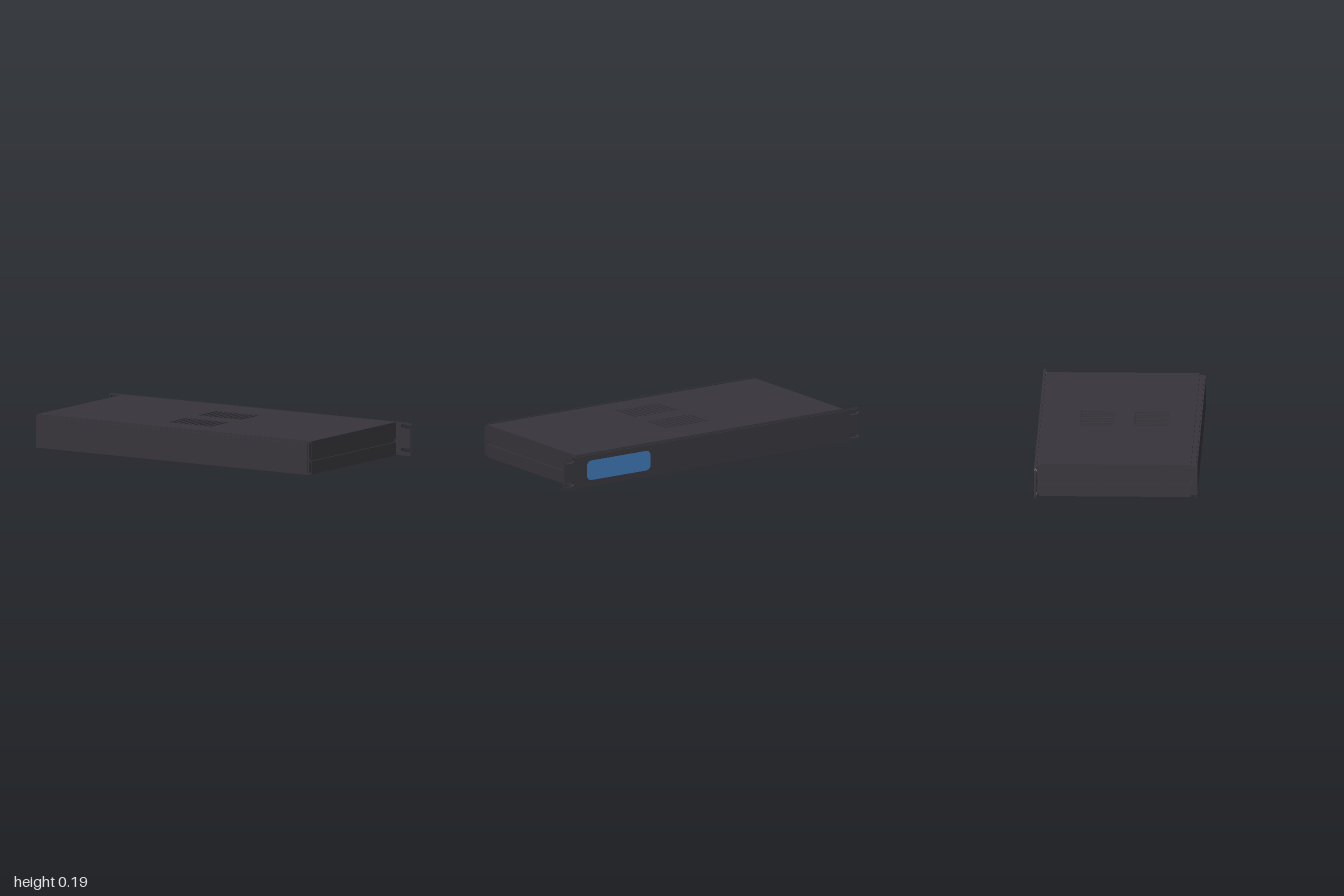
import * as THREE from 'three';

export function createModel() {
  const model = new THREE.Group();
  model.name = 'rackUnit';
  const metal = new THREE.MeshStandardMaterial({ color: 0x37353b });
  metal.name = 'charcoal metal';
  const blue = new THREE.MeshStandardMaterial({ color: 0x3f76b2 });
  blue.name = 'display blue';

  const add = (name, geometry, material = metal) => {
    const mesh = new THREE.Mesh(geometry, material);
    mesh.name = name;
    model.add(mesh);
    return mesh;
  };

  // Box given by its limits on each axis
  const box = (name, x0, x1, y0, y1, z0, z1) => {
    add(name, new THREE.BoxGeometry(x1 - x0, y1 - y0, z1 - z0))
      .position.set((x0 + x1) / 2, (y0 + y1) / 2, (z0 + z1) / 2);
  };

  // Rounded rectangle outline, used for plates and slots
  const roundRect = (x0, x1, y0, y1, r, Type = THREE.Shape) => {
    const s = new Type();
    s.moveTo(x0 + r, y0);
    s.lineTo(x1 - r, y0);
    s.absarc(x1 - r, y0 + r, r, -Math.PI / 2, 0);
    s.lineTo(x1, y1 - r);
    s.absarc(x1 - r, y1 - r, r, 0, Math.PI / 2);
    s.lineTo(x0 + r, y1);
    s.absarc(x0 + r, y1 - r, r, Math.PI / 2, Math.PI);
    s.lineTo(x0, y0 + r);
    s.absarc(x0 + r, y0 + r, r, Math.PI, Math.PI * 1.5);
    return s;
  };
  const extrude = (shape, depth) =>
    new THREE.ExtrudeGeometry(shape, { depth, bevelEnabled: false, curveSegments: 6 });

  // Horizontal plate with two banks of ventilation slots
  const ventedPlate = (name, halfX, zMin, zMax, yBottom, thickness) => {
    const s = new THREE.Shape();
    s.moveTo(-halfX, -zMax);
    s.lineTo(halfX, -zMax);
    s.lineTo(halfX, -zMin);
    s.lineTo(-halfX, -zMin);
    s.closePath();
    for (const zc of [0.175, -0.125]) {
      for (let i = -4; i <= 4; i++) {
        const x = i * 0.033;
        s.holes.push(roundRect(x - 0.009, x + 0.009, -zc - 0.095, -zc + 0.095, 0.008, THREE.Path));
      }
    }
    const g = extrude(s, thickness);
    g.rotateX(-Math.PI / 2);
    add(name, g).position.y = yBottom;
  };

  // Case top and bottom
  ventedPlate('topCover', 0.905, -0.425, 0.415, 0.173, 0.012);
  ventedPlate('ventGrille', 0.2, -0.26, 0.31, 0.145, 0.028);
  box('bottomCover', -0.905, 0.905, 0, 0.012, -0.425, 0.415);

  // Side walls: two rails with a recessed groove between them
  for (const side of [-1, 1]) {
    const label = side > 0 ? 'left' : 'right';
    const wall = (name, inner, outer, y0, y1, z0, z1) =>
      box(label + name, Math.min(side * inner, side * outer), Math.max(side * inner, side * outer), y0, y1, z0, z1);
    wall('UpperRail', 0.885, 0.905, 0.094, 0.173, -0.425, 0.415);
    wall('LowerRail', 0.885, 0.905, 0.012, 0.073, -0.425, 0.415);
    wall('Groove', 0.88, 0.896, 0.07, 0.097, -0.425, 0.415);

    // Short end walls, open where the groove meets the panels
    for (const [end, z0, z1, m0, m1] of [['Back', 0.415, 0.438, 0.427, 0.438], ['Front', -0.438, -0.425, -0.438, -0.433]]) {
      wall(end + 'EndUpper', 0.885, 0.9, 0.094, 0.175, z0, z1);
      wall(end + 'EndLower', 0.885, 0.9, 0.012, 0.073, z0, z1);
      wall(end + 'EndMiddle', 0.885, 0.9, 0.073, 0.094, m0, m1);
    }
  }

  // Stepped-down lips joining the covers to the end panels
  for (const [end, z0, z1] of [['back', 0.415, 0.44], ['front', -0.44, -0.425]]) {
    box(end + 'TopLip', -0.9, 0.9, 0.163, 0.175, z0, z1);
    box(end + 'BottomLip', -0.9, 0.9, 0.012, 0.022, z0, z1);
  }

  // Plain end panel with a thin full-height flange
  box('plainPanel', -0.9, 0.9, 0.012, 0.175, 0.436, 0.45);
  box('plainPanelFlange', -0.905, 0.905, 0, 0.185, 0.4375, 0.4425);

  // Mounting panel with slotted ears, as a plate over a taller thin core
  const earPanel = (name, halfX, y0, y1, z, depth) => {
    const s = roundRect(-halfX, halfX, y0, y1, 0.008);
    for (const x of [-0.963, 0.963]) {
      for (const y of [0.03, 0.162]) {
        s.holes.push(roundRect(x - 0.03, x + 0.03, y - 0.0125, y + 0.0125, 0.012, THREE.Path));
      }
    }
    add(name, extrude(s, depth)).position.z = z;
  };
  earPanel('mountingPanel', 0.997, 0.008, 0.179, -0.45, 0.015);
  earPanel('mountingPanelCore', 1, 0, 0.185, -0.443, 0.005);

  // Blue display window
  add('displayWindow', extrude(roundRect(0.415, 0.845, 0.037, 0.148, 0.03), 0.003), blue)
    .position.z = -0.4515;

  return model;
}
